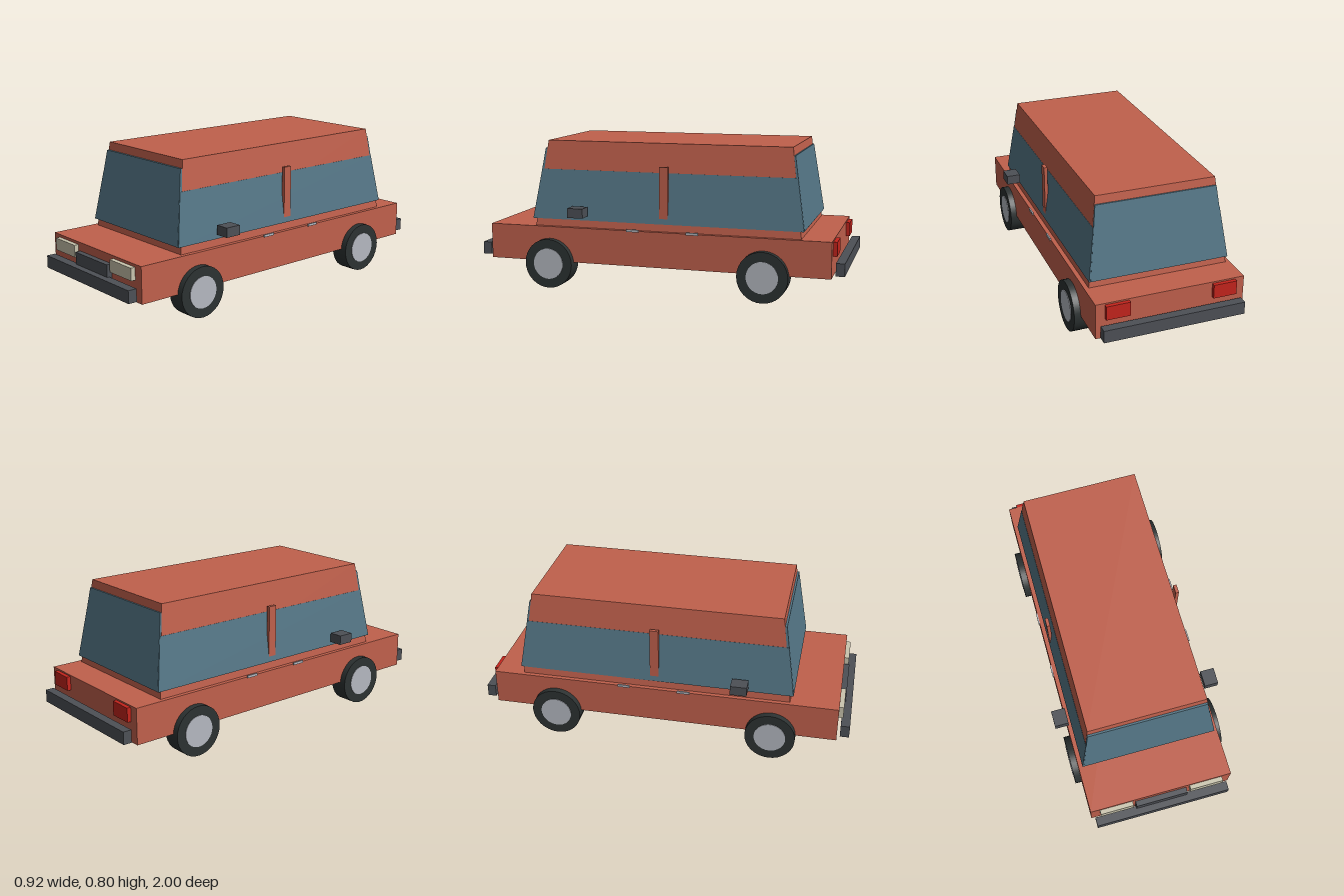
import * as THREE from 'three';

const material = (name, color) => {
  const m = new THREE.MeshStandardMaterial({ color });
  m.name = name;
  return m;
};

export function createModel() {
  const car = new THREE.Group();
  car.name = 'car';
  const paint = material('red paint', 0xc0604c);
  const glass = material('blue glass', 0x547686);
  const trim = material('dark grey trim', 0x4d5056);
  const rubber = material('tyre rubber', 0x2c3232);
  const silver = material('silver', 0xb4b8c0);
  const lamp = material('cream lamp', 0xcac5ae);
  const tail = material('red lamp', 0xc4241c);

  const add = (name, geometry, mat) => {
    const mesh = new THREE.Mesh(geometry, mat);
    mesh.name = name;
    car.add(mesh);
    return mesh;
  };

  // Box given by its lower and upper limits on each axis
  const box = (name, mat, [x0, x1], [y0, y1], [z0, z1]) => {
    const g = new THREE.BoxGeometry(x1 - x0, y1 - y0, z1 - z0);
    g.translate((x0 + x1) / 2, (y0 + y1) / 2, (z0 + z1) / 2);
    return add(name, g, mat);
  };

  // Box tapering from a bottom to a top rectangle: [y, half width, back z, front z]
  const tapered = (name, mat, bottom, top) => {
    const g = new THREE.BoxGeometry(2, 1, 1).toNonIndexed();
    const p = g.attributes.position;
    for (let i = 0; i < p.count; i++) {
      const [y, w, back, front] = p.getY(i) > 0 ? top : bottom;
      p.setXYZ(i, p.getX(i) * w, y, p.getZ(i) > 0 ? front : back);
    }
    g.computeVertexNormals();
    return add(name, g, mat);
  };

  // Body and cabin
  box('body', paint, [-0.393, 0.393], [0.142, 0.333], [-0.935, 0.936]);
  tapered('cabin', paint, [0.333, 0.37, -0.777, 0.68], [0.795, 0.315, -0.718, 0.62]);

  // Glass: a low band round the sides, and taller panes front and back
  tapered('sideWindows', glass, [0.372, 0.372, -0.79, 0.695], [0.64, 0.3345, -0.7477, 0.6527]);
  tapered('windscreenAndRearWindow', glass, [0.374, 0.364, -0.791, 0.696], [0.752, 0.319, -0.731, 0.636]);

  // Bumpers and grille
  box('frontBumper', trim, [-0.373, 0.373], [0.155, 0.222], [0.952, 1]);
  box('rearBumper', trim, [-0.373, 0.373], [0.155, 0.222], [-1, -0.954]);
  box('grille', trim, [-0.143, 0.143], [0.17, 0.287], [0.93, 0.965]);

  for (const side of [-1, 1]) {
    const label = side > 0 ? 'left' : 'right';
    const span = (a, b) => (side > 0 ? [a, b] : [-b, -a]);

    // Lamps
    box(label + 'Headlight', lamp, span(0.16, 0.342), [0.253, 0.318], [0.93, 0.96]);
    box(label + 'TailLight', tail, span(0.22, 0.345), [0.25, 0.325], [-0.956, -0.93]);

    // Side details
    box(label + 'DoorPillar', paint, span(0.35, 0.368), [0.4, 0.675], [-0.07, -0.023]);
    box(label + 'Mirror', trim, span(0.385, 0.46), [0.398, 0.449], [0.373, 0.46]);
    box(label + 'FrontDoorHandle', silver, span(0.392, 0.4), [0.328, 0.341], [0.082, 0.149]);
    box(label + 'RearDoorHandle', silver, span(0.392, 0.4), [0.328, 0.341], [-0.242, -0.177]);

    // Wheels
    for (const z of [0.588, -0.588]) {
      const end = z > 0 ? 'Front' : 'Rear';
      const disc = (name, mat, radius, inner, outer) => {
        const g = new THREE.CylinderGeometry(radius, radius, outer - inner, 32);
        g.rotateZ(Math.PI / 2);
        add(name, g, mat).position.set(side * (inner + outer) / 2, 0.134, z);
      };
      disc(label + end + 'Tyre', rubber, 0.134, 0.33, 0.427);
      disc(label + end + 'Hub', silver, 0.084, 0.329, 0.43);
    }
  }
  return car;
}
